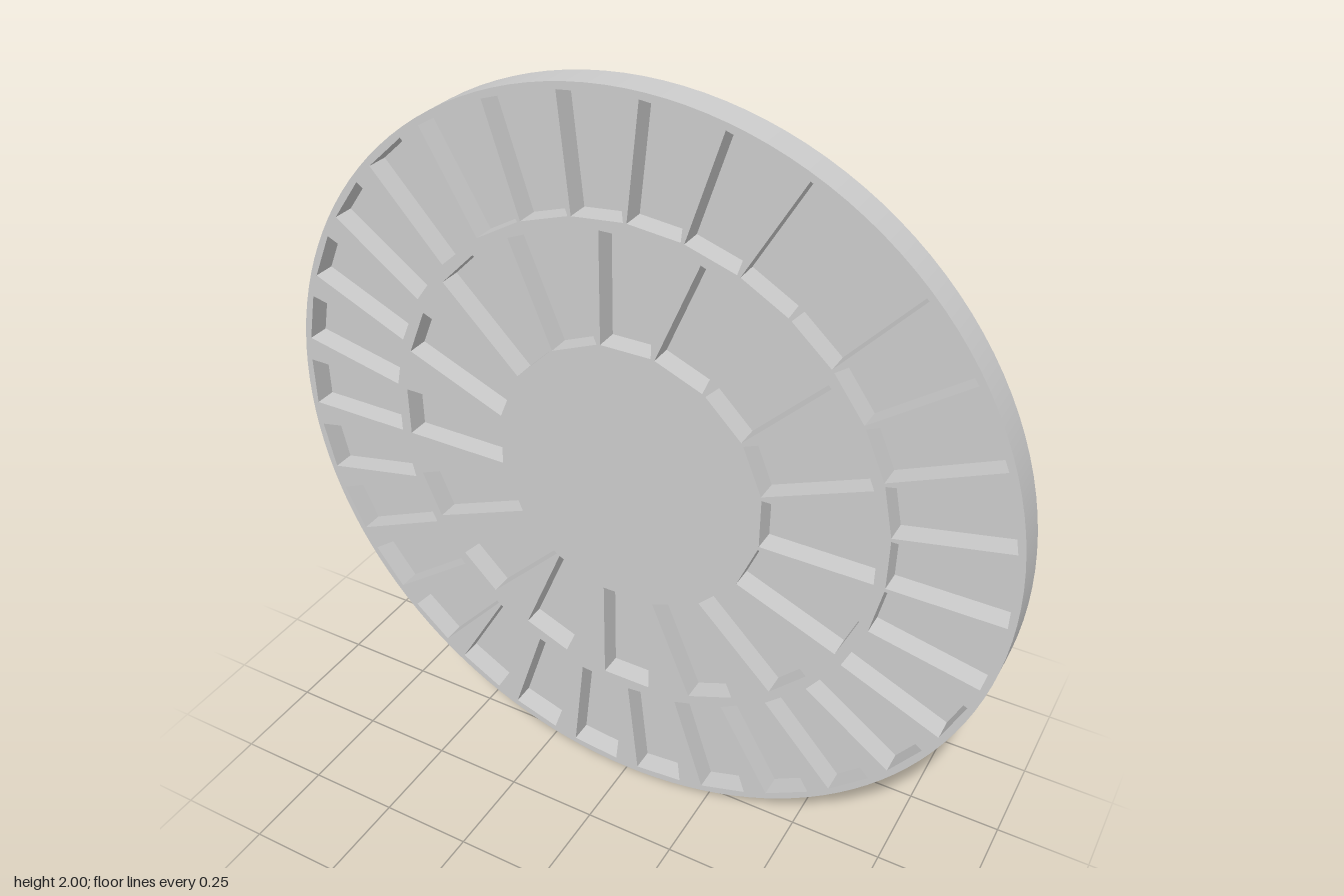
import * as THREE from 'three';

const HALF = 0.042;   // half the disc thickness
const DEPTH = 0.06;   // pocket depth
const WIDTH = 0.136;  // pocket width across the spoke direction
const SEGMENTS = 128;

// Rings of radial pockets: the inner ring has 16, the outer ring 30
const rings = [
  { name: 'innerPocket', count: 16, r0: 0.367, r1: 0.661 },
  { name: 'outerPocket', count: 30, r0: 0.69, r1: 0.98 },
];

// Inside-out box without its front side: the walls and floor of one pocket
function pocketGeometry(length) {
  const geo = new THREE.BoxGeometry(length, WIDTH, DEPTH);
  const all = Array.from(geo.index.array);
  const kept = [...all.slice(0, 24), ...all.slice(30)];
  geo.setIndex(kept.reverse());
  geo.clearGroups();
  const n = geo.attributes.normal;
  for (let i = 0; i < n.count; i++) n.setXYZ(i, -n.getX(i), -n.getY(i), -n.getZ(i));
  return geo;
}

// Rectangular opening in the front face, turned to the given angle
function pocketHole(r0, r1, angle) {
  const h = WIDTH / 2;
  const corners = [[r0, -h], [r0, h], [r1, h], [r1, -h]];
  return new THREE.Path(corners.map(([x, y]) =>
    new THREE.Vector2(x, y).rotateAround(new THREE.Vector2(), angle)));
}

export function createModel() {
  const model = new THREE.Group();
  model.name = 'pocketedDisc';
  const grey = new THREE.MeshStandardMaterial({ color: 0xcccccc });
  grey.name = 'light grey';

  const disc = new THREE.Group();
  disc.name = 'disc';
  disc.position.y = 1;
  model.add(disc);

  const add = (name, geometry) => {
    const mesh = new THREE.Mesh(geometry, grey);
    mesh.name = name;
    disc.add(mesh);
    return mesh;
  };

  // Outer rim
  add('rim', new THREE.CylinderGeometry(1, 1, HALF * 2, SEGMENTS, 1, true).rotateX(Math.PI / 2));

  // Plain back
  add('backFace', new THREE.CircleGeometry(1, SEGMENTS).rotateY(Math.PI).translate(0, 0, -HALF));

  // Front face outline, pierced below by the pocket openings
  const outline = [];
  for (let i = 0; i < SEGMENTS; i++) {
    const a = (i / SEGMENTS) * Math.PI * 2;
    outline.push(new THREE.Vector2(Math.cos(a), Math.sin(a)));
  }
  const front = new THREE.Shape(outline);

  // Pockets
  for (const { name, count, r0, r1 } of rings) {
    const geometry = pocketGeometry(r1 - r0).translate((r0 + r1) / 2, 0, HALF - DEPTH / 2);
    for (let i = 0; i < count; i++) {
      const angle = (i / count) * Math.PI * 2;
      front.holes.push(pocketHole(r0, r1, angle));
      add(name, geometry).rotation.z = angle;
    }
  }

  add('frontFace', new THREE.ShapeGeometry(front).translate(0, 0, HALF));
  return model;
}
